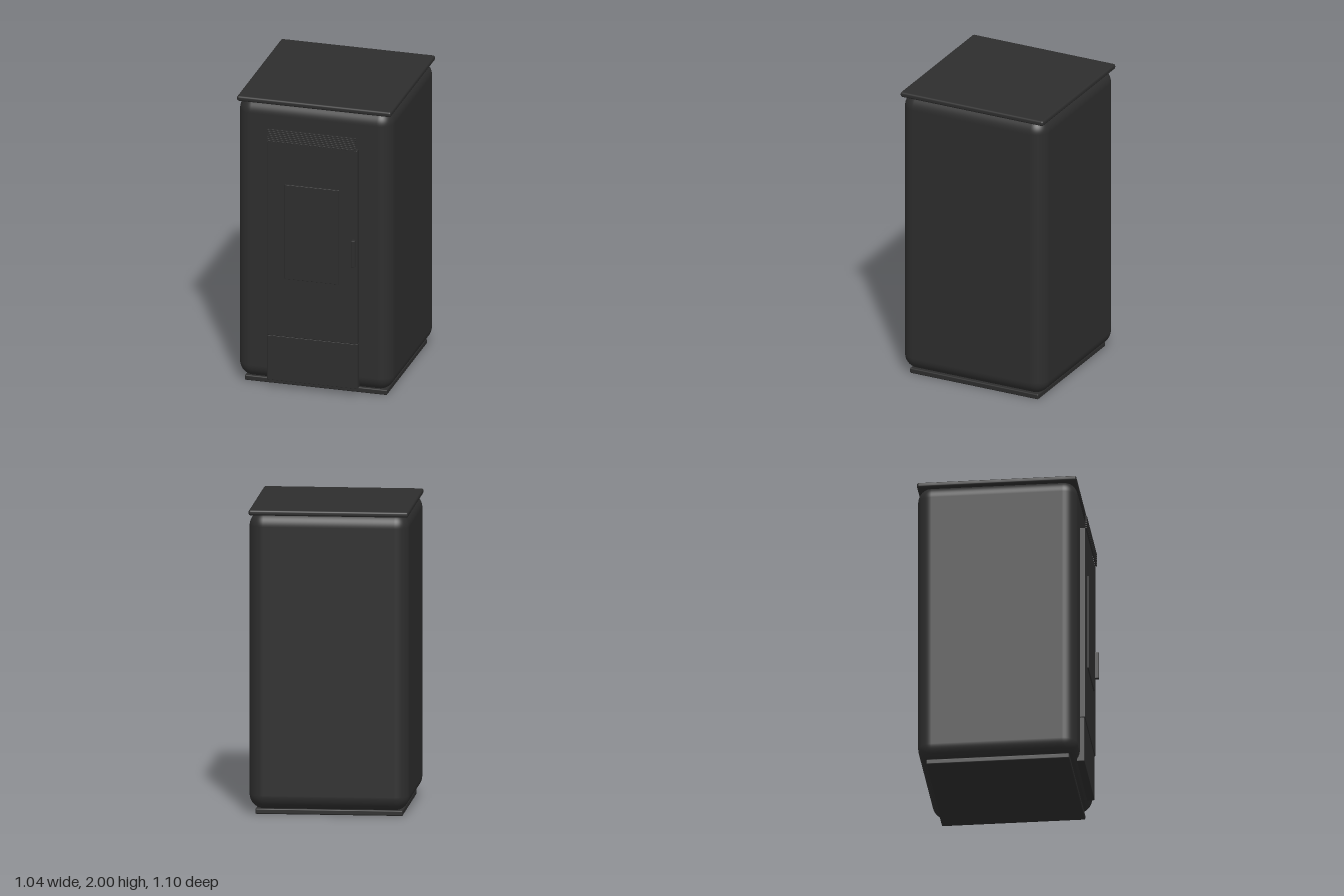
import * as THREE from 'three';
import { RoundedBoxGeometry } from 'three/addons/geometries/RoundedBoxGeometry.js';

export function createModel() {
  const stove = new THREE.Group();
  stove.name = 'stove';

  const blackSteel = new THREE.MeshStandardMaterial({ color: 0x2d2d2d });
  blackSteel.name = 'blackSteel';

  // Rounded box given by its extents along x, y and z
  function block(name, [x0, x1], [y0, y1], [z0, z1], radius, segments = 3) {
    const geometry = new RoundedBoxGeometry(x1 - x0, y1 - y0, z1 - z0, segments, radius);
    const mesh = new THREE.Mesh(geometry, blackSteel);
    mesh.name = name;
    mesh.position.set((x0 + x1) / 2, (y0 + y1) / 2, (z0 + z1) / 2);
    stove.add(mesh);
    return mesh;
  }

  // Cabinet: plinth, soft-edged body and square lid
  block('base', [-0.48, 0.48], [0, 0.036], [-0.495, 0.44], 0.008);
  block('body', [-0.52, 0.52], [0.034, 1.985], [-0.55, 0.49], 0.095, 8);
  block('lid', [-0.52, 0.52], [1.964, 2], [-0.55, 0.49], 0.014, 4);

  // Front: ash panel below, fire door above
  block('ashPanel', [-0.305, 0.305], [0.055, 0.366], [0.47, 0.52], 0.003);
  block('door', [-0.305, 0.305], [0.368, 1.722], [0.47, 0.525], 0.004);
  block('window', [-0.183, 0.181], [0.776, 1.435], [0.515, 0.534], 0.003);
  block('handle', [0.269, 0.294], [0.91, 1.1], [0.515, 0.55], 0.005);

  // Air grille: thin bars standing above the door
  for (let i = 0; i < 7; i++) {
    const y = 1.727 + i * 0.0133;
    block('grilleBar', [-0.298, 0.297], [y - 0.0045, y + 0.0045], [0.525, 0.535], 0.0015, 1);
  }

  return stove;
}
